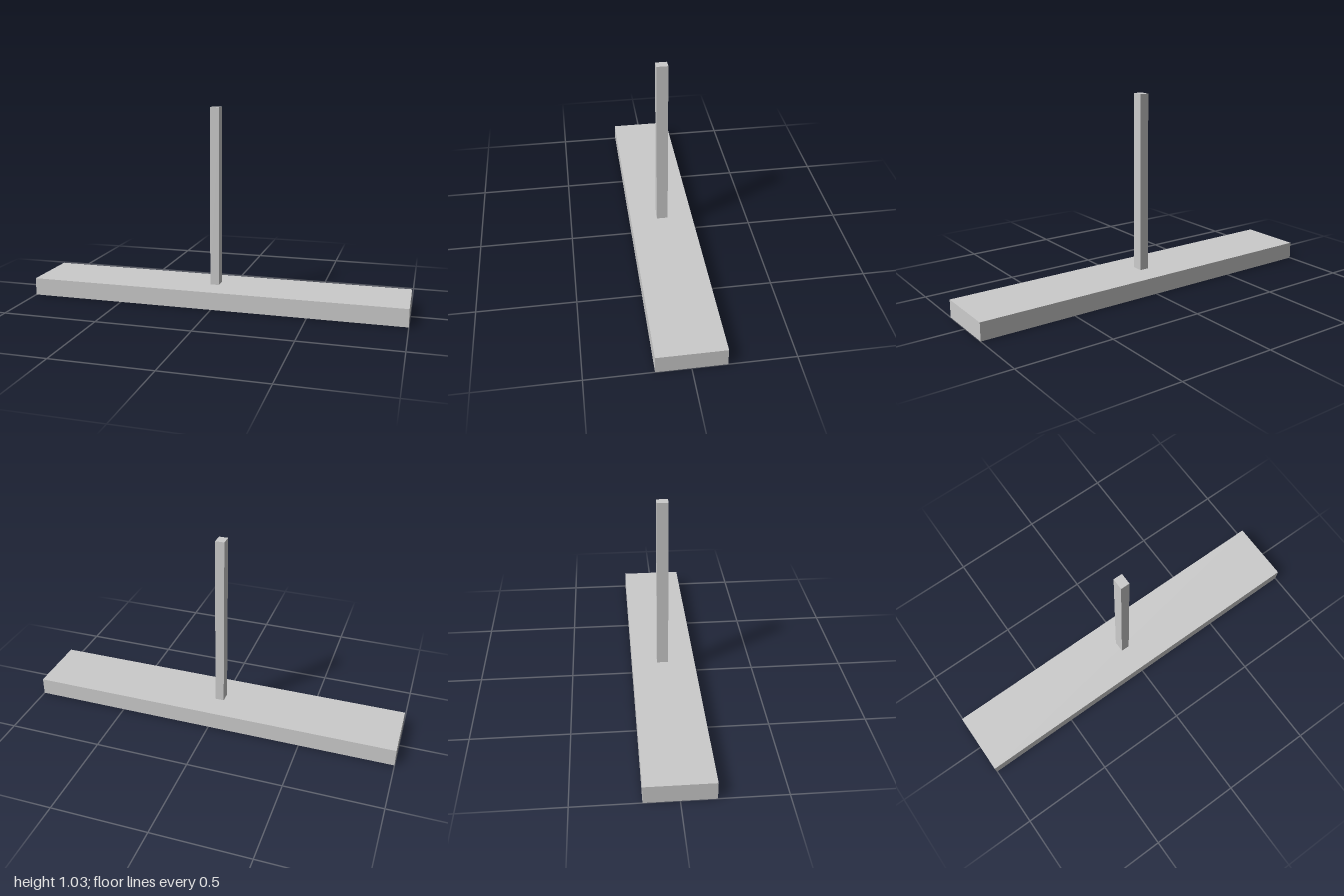
import * as THREE from 'three';

const LENGTH = 2, WIDTH = 0.34, HEIGHT = 0.093;
const POCKET_DEPTH = 0.08, COLUMNS = 10, PITCH_X = 0.198, ROW_Z = [-0.08, 0.076];
const POCKET_X = 0.1, POCKET_Z = 0.085;

// Adds a centred rectangle outline to a shape or path
function rectangle(path, cx, cy, w, h) {
  path.moveTo(cx - w / 2, cy - h / 2);
  path.lineTo(cx + w / 2, cy - h / 2);
  path.lineTo(cx + w / 2, cy + h / 2);
  path.lineTo(cx - w / 2, cy + h / 2);
  path.closePath();
  return path;
}

export function createModel() {
  const group = new THREE.Group();
  group.name = 'postOnBase';
  const material = new THREE.MeshStandardMaterial({ color: 0xcccccc, flatShading: true });

  function add(name, geometry, x, y, z) {
    const mesh = new THREE.Mesh(geometry, material);
    mesh.name = name;
    mesh.position.set(x, y, z);
    group.add(mesh);
  }

  // Lower base with two rows of rectangular pockets open underneath
  const outline = rectangle(new THREE.Shape(), 0, 0, LENGTH, WIDTH);
  for (const z of ROW_Z) {
    for (let i = 0; i < COLUMNS; i++) {
      const x = (i - (COLUMNS - 1) / 2) * PITCH_X;
      outline.holes.push(rectangle(new THREE.Path(), x, z, POCKET_X, POCKET_Z));
    }
  }
  const pocketed = new THREE.ExtrudeGeometry(outline, { depth: POCKET_DEPTH, bevelEnabled: false });
  pocketed.rotateX(Math.PI / 2);
  add('pocketedBase', pocketed, 0, POCKET_DEPTH, 0);

  // Solid slab closing the pockets from above
  const slab = HEIGHT - POCKET_DEPTH;
  add('baseTop', new THREE.BoxGeometry(LENGTH, slab, WIDTH), 0, POCKET_DEPTH + slab / 2, 0);

  // Upright post, slightly off centre
  const postHeight = 1.035 - HEIGHT;
  add('post', new THREE.BoxGeometry(0.048, postHeight, 0.06), -0.019, HEIGHT + postHeight / 2, -0.004);

  return group;
}
